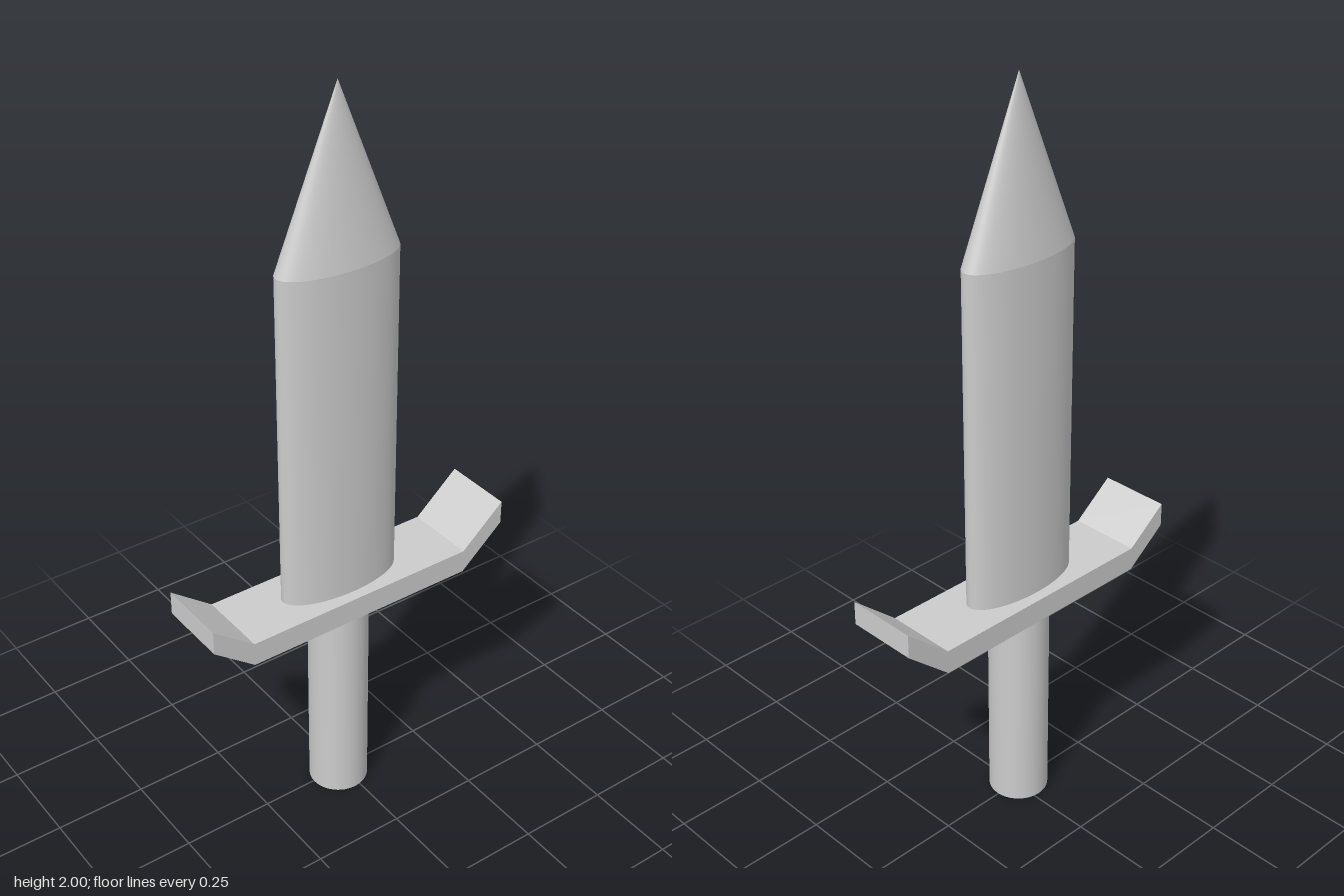
import * as THREE from 'three';

const material = new THREE.MeshStandardMaterial({ color: 0xcccccc });

function addPart(group, name, geometry, x, y, z) {
  const mesh = new THREE.Mesh(geometry, material);
  mesh.name = name;
  mesh.position.set(x, y, z);
  group.add(mesh);
  return mesh;
}

export function createModel() {
  const group = new THREE.Group();
  group.name = 'dagger';

  // Round grip
  const gripHeight = 0.61;
  addPart(group, 'grip', new THREE.CylinderGeometry(0.08, 0.08, gripHeight, 48), -0.016, gripHeight / 2, 0.004);

  // Crossguard: flat bar with upturned ends, given as [x, lower y]
  const thickness = 0.065;
  const bar = [[-0.45, 0.685], [-0.335, 0.596], [0.323, 0.596], [0.447, 0.704]];
  const outline = [
    ...bar.map(([x, y]) => new THREE.Vector2(x, y)),
    ...bar.map(([x, y]) => new THREE.Vector2(x, y + thickness)).reverse(),
  ];
  const depth = 0.196;
  const guard = new THREE.ExtrudeGeometry(new THREE.Shape(outline), { depth, bevelEnabled: false });
  addPart(group, 'crossguard', guard, 0, 0, -depth / 2);

  // Blade: oval column with a matching oval cone as its point
  const bladeX = -0.012, rx = 0.172, rz = 0.068;
  const base = 0.64, shoulder = 1.57, tip = 2;
  const blade = new THREE.CylinderGeometry(1, 1, shoulder - base, 64).scale(rx, 1, rz);
  addPart(group, 'blade', blade, bladeX, (base + shoulder) / 2, 0);
  const point = new THREE.ConeGeometry(1, tip - shoulder, 64, 1, true).scale(rx, 1, rz);
  addPart(group, 'bladePoint', point, bladeX, (shoulder + tip) / 2, 0);

  return group;
}
